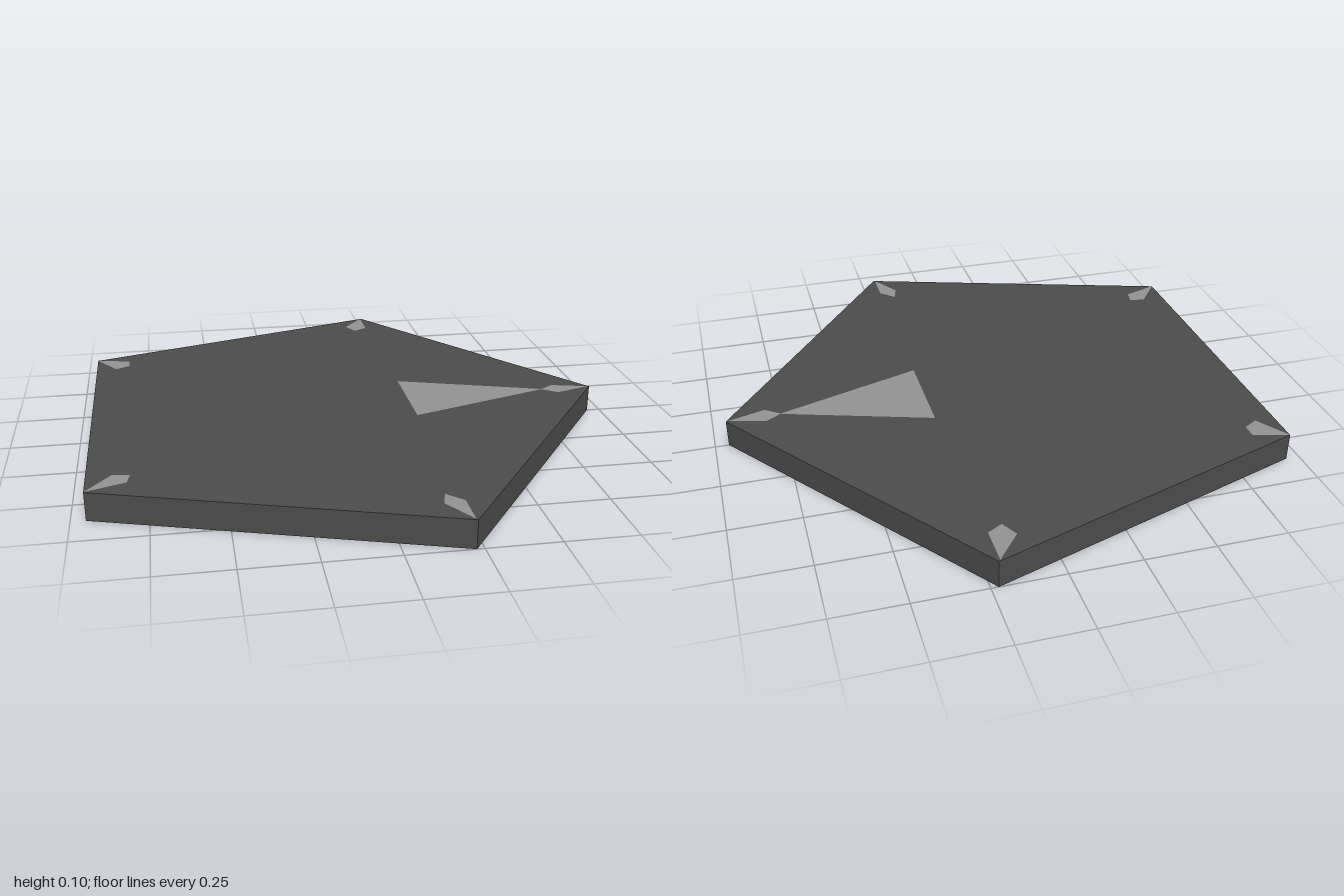
import * as THREE from 'three';

function makeMaterial(name, color) {
  const material = new THREE.MeshStandardMaterial({ color });
  material.name = name;
  return material;
}

// Outline of [x, z] points as a shape that lies flat once rotated about x
const outline = (points) => new THREE.Shape(points.map(([x, z]) => new THREE.Vector2(x, -z)));

// Flat painted face at height y, facing up
function marking(name, points, y, material) {
  const geometry = new THREE.ShapeGeometry(outline(points)).rotateX(-Math.PI / 2);
  const mesh = new THREE.Mesh(geometry, material);
  mesh.name = name;
  mesh.position.y = y;
  return mesh;
}

export function createModel() {
  const darkGrey = makeMaterial('dark grey', 0x4c4c4c);
  const midGrey = makeMaterial('mid grey', 0x80807f);
  const lightGrey = makeMaterial('light grey', 0x939393);

  const model = new THREE.Group();
  model.name = 'pentagonPlate';
  const height = 0.1, paintY = height + 0.001;

  // Regular pentagon with one corner on +x, centred by its bounds
  const radius = 1 / Math.sin(Math.PI * 0.4);
  const corners = [0, 1, 2, 3, 4].map((i) => {
    const a = (i * Math.PI * 2) / 5;
    return [radius * Math.cos(a) - 0.1, radius * Math.sin(a)];
  });
  const plate = new THREE.ExtrudeGeometry(outline(corners), { depth: height, bevelEnabled: false });
  plate.rotateX(-Math.PI / 2);

  // The first three triangles are the underside, the rest the top and walls
  plate.clearGroups();
  plate.addGroup(0, 9, 0);
  plate.addGroup(9, plate.attributes.position.count - 9, 1);
  const base = new THREE.Mesh(plate, [midGrey, darkGrey]);
  base.name = 'base';
  model.add(base);

  // Pointer aimed at the +x corner
  model.add(marking('pointer', [[0.225, -0.177], [0.225, 0.177], [0.76, 0]], paintY, lightGrey));

  // Slightly uneven kite in each corner
  const kites = [
    [[0.945, 0], [0.81, -0.035], [0.755, 0], [0.81, 0.042]],
    [[0.22, 0.995], [0.15, 0.88], [0.167, 0.817], [0.22, 0.87]],
    [[-0.95, 0.617], [-0.865, 0.505], [-0.807, 0.515], [-0.817, 0.57]],
    [[-0.95, -0.617], [-0.823, -0.585], [-0.823, -0.53], [-0.876, -0.5]],
    [[0.22, -0.995], [0.135, -0.89], [0.167, -0.83], [0.22, -0.86]],
  ];
  kites.forEach((points, i) => {
    model.add(marking(`cornerMark${i + 1}`, points, paintY, lightGrey));
  });
  return model;
}
